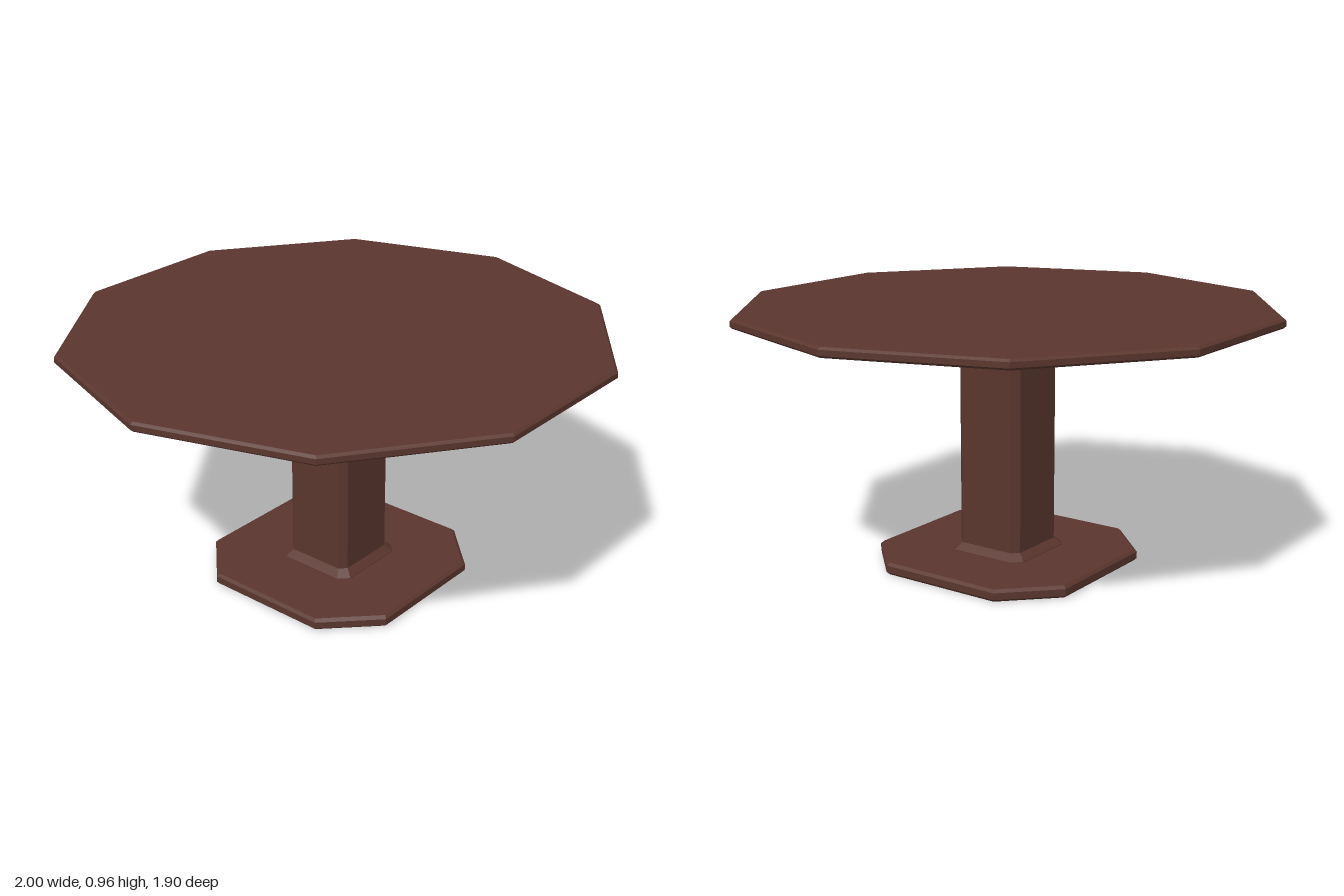
import * as THREE from 'three';

// Regular polygon outline with a corner on the x axis
const polygon = (sides, r) => Array.from({ length: sides }, (_, i) => {
  const a = (i / sides) * Math.PI * 2;
  return [r * Math.cos(a), r * Math.sin(a)];
});

// Square outline of half-width h whose corners are cut off by c
const cutSquare = (h, c) => {
  const k = h - c;
  return [[h, -k], [h, k], [k, h], [-k, h], [-h, k], [-h, -k], [-k, -h], [k, -h]];
};

// Closed faceted solid through stacked outlines: [[y, outline], ...] from bottom to top
function loft(levels) {
  const pos = [];
  const tri = (...pts) => pts.forEach(p => pos.push(...p));
  const rings = levels.map(([y, pts]) => pts.map(([x, z]) => [x, y, z]));
  const n = rings[0].length;
  const top = rings[rings.length - 1];
  for (let i = 0; i < n; i++) {
    const j = (i + 1) % n;
    for (let k = 0; k < rings.length - 1; k++) {
      const b = rings[k], t = rings[k + 1];
      tri(b[j], b[i], t[i]);
      tri(b[j], t[i], t[j]);
    }
    tri([0, rings[0][0][1], 0], rings[0][i], rings[0][j]);
    tri([0, top[0][1], 0], top[j], top[i]);
  }
  const geo = new THREE.BufferGeometry();
  geo.setAttribute('position', new THREE.Float32BufferAttribute(pos, 3));
  geo.computeVertexNormals();
  return geo;
}

export function createModel() {
  const group = new THREE.Group();
  group.name = 'pedestalTable';
  const wood = new THREE.MeshStandardMaterial({ color: 0x5a362e, flatShading: true });
  wood.name = 'dark brown wood';

  const add = (name, levels) => {
    const mesh = new THREE.Mesh(loft(levels), wood);
    mesh.name = name;
    group.add(mesh);
  };

  // Ten-sided top with small bevels above and below
  add('tableTop', [
    [0.93, polygon(10, 0.99)],
    [0.938, polygon(10, 1)],
    [0.957, polygon(10, 1)],
    [0.965, polygon(10, 0.99)],
  ]);

  // Square column with chamfered corners
  add('column', [
    [0.06, cutSquare(0.135, 0.025)],
    [0.935, cutSquare(0.135, 0.025)],
  ]);

  // Sloped collar where the column meets the foot
  add('collar', [
    [0.04, cutSquare(0.162, 0.035)],
    [0.047, cutSquare(0.162, 0.035)],
    [0.072, cutSquare(0.135, 0.025)],
  ]);

  // Flat foot with large cut corners and bevelled edges
  add('foot', [
    [0, cutSquare(0.412, 0.177)],
    [0.01, cutSquare(0.422, 0.18)],
    [0.035, cutSquare(0.422, 0.18)],
    [0.045, cutSquare(0.412, 0.177)],
  ]);

  return group;
}
